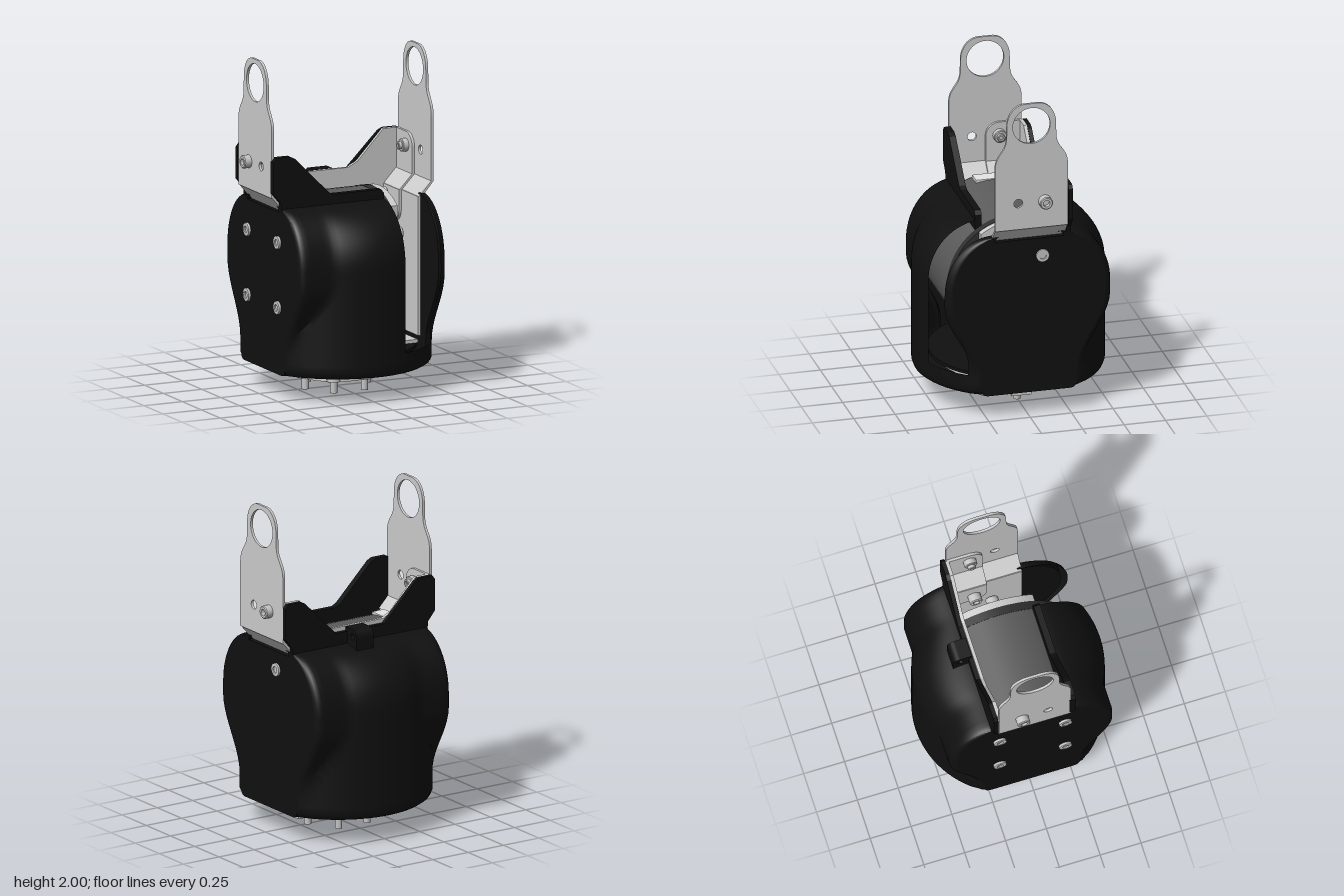
import * as THREE from 'three';
import { toCreasedNormals } from 'three/addons/utils/BufferGeometryUtils.js';

const mat = (name, color) => new THREE.MeshStandardMaterial({ name, color, side: THREE.DoubleSide });

export function createModel() {
  const root = new THREE.Group();
  const black = mat('black plastic', 0x101010);
  const silver = mat('silver metal', 0xcccccc);
  const steel = mat('screw steel', 0xc4c4c4);
  const grey = mat('motor grey', 0x5c5c5c);
  const dark = mat('dark motor rim', 0x303030);
  const white = mat('label white', 0xe8e8e8);

  const add = (name, geo, material, x = 0, y = 0, z = 0) => {
    const m = new THREE.Mesh(geo, material);
    m.name = name;
    m.position.set(x, y, z);
    root.add(m);
    return m;
  };
  const poly = pts => new THREE.Shape(pts.map(p => new THREE.Vector2(p[0], p[1])));
  const circleHole = (shape, x, y, r) => {
    const h = new THREE.Path();
    h.absarc(x, y, r, 0, Math.PI * 2, true);
    shape.holes.push(h);
    return shape;
  };
  const extrude = (shape, depth) =>
    new THREE.ExtrudeGeometry(shape, { depth, bevelEnabled: false, curveSegments: 24 });
  // shape drawn in (-z, y), thickened along x
  const slabX = (shape, x0, x1) => extrude(shape, x1 - x0).rotateY(Math.PI / 2).translate(x0, 0, 0);
  // shape drawn in (x, y), thickened along z
  const slabZ = (shape, z0, z1) => extrude(shape, z1 - z0).translate(0, 0, z0);
  const cylX = (r, x0, x1) =>
    new THREE.CylinderGeometry(r, r, x1 - x0, 64).rotateZ(Math.PI / 2).translate((x0 + x1) / 2, 0, 0);
  const sided = (s, a, b) => (s > 0 ? [a, b] : [-b, -a]);

  // socket head screw along +y
  const headGeo = toCreasedNormals(new THREE.LatheGeometry(
    [[0, 0], [0.039, 0], [0.039, 0.04], [0.034, 0.045], [0.02, 0.045], [0.02, 0.02], [0, 0.02]]
      .map(p => new THREE.Vector2(...p)), 20), 0.6);
  const screwX = (name, x, y, z, dir, len = 0.045, k = 1) => {
    const m = add(name, headGeo, steel, x, y, z);
    m.rotation.z = -dir * Math.PI / 2;
    m.scale.set(k, len / 0.045, k);
  };

  // ---- housing shell: round foot blended with a sideways barrel ----
  const X = 0.475, R = 0.565, Y0 = 0.15, Y1 = 1.15, E = 0.04;
  const barrel = y => 0.33 + 0.17 * THREE.MathUtils.smoothstep(y, 0.28, 0.72);
  const roof = (z, y) => y > 0.8 ? 0.21 + (z - 0.21) * Math.sqrt(Math.max(0, 1 - ((y - 0.8) / 0.35) ** 2)) : z;
  const round = d => d <= 0 ? 0 : E - Math.sqrt(Math.max(0, E * E - d * d));
  const halfDepth = (x, y) =>
    roof(Math.max(barrel(y), Math.sqrt(R * R - x * x)), y) - round(Math.abs(x) - X + E) - round(Y0 + E - y);
  const spread = (x, y) => x * (1 - round(Y0 + E - y) / X);
  const xs = [-X, -0.471, -0.46, -0.435];
  for (let i = 1; i < 20; i++) xs.push(-0.435 + 0.625 * i / 20);
  xs.push(0.19, 0.22, 0.25, 0.28, 0.31, 0.34, 0.37, 0.4, 0.435, 0.46, 0.471, X);
  const ys = [Y0, 0.154, 0.165, 0.19, 0.23, 0.28];
  for (let i = 1; i <= 30; i++) ys.push(0.28 + 0.87 * Math.sin(i / 30 * Math.PI / 2));
  const shell = side => {
    const pos = [], idx = [], n = xs.length;
    for (const y of ys) for (const x of xs) pos.push(spread(x, y), y, side * halfDepth(x, y));
    for (let j = 0; j < ys.length - 1; j++) for (let i = 0; i < n - 1; i++) {
      // open window in the front
      if (side > 0 && ys[j] >= 0.279 && xs[i] >= 0.189 && xs[i + 1] <= 0.436) continue;
      const a = j * n + i, b = a + 1, c = a + n, d = c + 1;
      if (side > 0) idx.push(a, b, d, a, d, c);
      else idx.push(a, d, b, a, c, d);
    }
    const g = new THREE.BufferGeometry();
    g.setAttribute('position', new THREE.Float32BufferAttribute(pos, 3));
    g.setIndex(idx);
    return toCreasedNormals(g, 0.6);
  };
  add('frontShell', shell(1), black);
  add('backShell', shell(-1), black);

  // side walls follow the shell's end outline
  const edge = ys.map(y => [halfDepth(X, y), y]);
  edge[edge.length - 1] = [0.21, 1.12];
  const wall = poly([...edge, ...edge.map(p => [-p[0], p[1]]).reverse()]);
  for (const s of [1, -1]) add('sideWall', slabX(wall, ...sided(s, 0.44, X)), black);

  // underside with round opening
  const rim = xs.map(x => [spread(x, Y0), halfDepth(x, Y0)]);
  const floor = circleHole(poly([...rim, ...rim.map(p => [p[0], -p[1]]).reverse()]), 0, 0, 0.3);
  add('housingFloor', extrude(floor, 0.02).rotateX(Math.PI / 2), black, 0, Y0 + 0.02, 0);
  add('innerFloor', new THREE.CylinderGeometry(0.47, 0.47, 0.02, 48), black, 0, 0.25, 0);

  // raised collars with ears
  const ear = [[-0.48, 1.18], [-0.53, 1.24], [-0.53, 1.43], [-0.51, 1.455], [-0.42, 1.455], [-0.39, 1.44], [-0.17, 1.22]];
  const mirror = pts => pts.map(p => [-p[0], p[1]]).reverse();
  add('backCollar', slabZ(poly([[-0.47, 1.05], ...ear, ...mirror(ear), [0.47, 1.05]]), -0.25, -0.225), black);
  add('frontCollar', slabZ(poly([[-0.47, 1.05], ...ear, [-0.14, 1.205], [0.17, 1.205], [0.19, 1.18], [0.19, 1.05]]),
    0.21, 0.25), black);

  // cable lug on the back
  const lug = new THREE.Shape();
  lug.moveTo(0.23, 1.05);
  lug.lineTo(0.345, 1.05);
  lug.lineTo(0.345, 1.2);
  lug.absarc(0.3, 1.2, 0.045, 0, Math.PI / 2, false);
  lug.lineTo(0.23, 1.245);
  add('cableLug', slabX(circleHole(lug, 0.3, 1.2, 0.02), -0.03, 0.09), black);

  // ---- motor ----
  add('motorBody', cylX(0.42, -0.42, 0.19), grey, 0, 0.75, 0);
  add('motorRim', cylX(0.422, 0.19, 0.24), dark, 0, 0.75, 0);
  add('motorLabel', new THREE.BoxGeometry(0.085, 0.02, 0.21), white, -0.37, 1.165, 0);
  const mount = new THREE.Shape();
  const a0 = Math.acos(0.24 / 0.42);
  mount.absarc(0, 0, 0.42, a0, Math.PI - a0, false);
  mount.absarc(0, 0, 0.42, Math.PI + a0, 2 * Math.PI - a0, false);
  add('motorMount', slabX(mount, 0.24, 0.282), silver, 0, 0.75, 0);
  for (const [y, z] of [[1.12, 0], [0.38, 0], [0.92, 0.2], [0.92, -0.2], [0.56, 0.2], [0.56, -0.2]])
    screwX('mountScrew', 0.28, y, z, 1);

  // ---- inner bracket: back web and side tabs ----
  const web = [[-0.42, 0.93], [-0.42, 1.14], [-0.505, 1.23], [-0.505, 1.455], [-0.41, 1.455], [-0.24, 1.275], [-0.18, 1.245]];
  add('bracketWeb', slabZ(poly([...web, ...mirror(web)]), -0.225, -0.205), silver);
  const tab = (top, bottom) => {
    const s = new THREE.Shape();
    s.moveTo(0.215, bottom);
    s.lineTo(0.215, top);
    s.lineTo(0.08, top);
    s.absarc(0.08, top - 0.08, 0.08, Math.PI / 2, Math.PI, false);
    s.lineTo(0, bottom);
    return s;
  };

  // ---- lifting arms, one per side ----
  const arm = new THREE.Shape();
  arm.moveTo(-0.22, 1.21);
  arm.lineTo(0.22, 1.21);
  arm.lineTo(0.22, 1.6);
  arm.bezierCurveTo(0.22, 1.7, 0.15, 1.7, 0.15, 1.8);
  arm.lineTo(0.148, 1.88);
  arm.bezierCurveTo(0.14, 1.96, 0.09, 2, 0.04, 2);
  arm.lineTo(-0.04, 2);
  arm.bezierCurveTo(-0.09, 2, -0.14, 1.96, -0.148, 1.88);
  arm.lineTo(-0.15, 1.8);
  arm.bezierCurveTo(-0.15, 1.7, -0.22, 1.7, -0.22, 1.6);
  circleHole(arm, 0, 1.86, 0.113);
  circleHole(arm, -0.08, 1.375, 0.027);

  for (const s of [1, -1]) {
    add('liftingArm', slabX(arm, ...sided(s, 0.511, 0.527)), silver);
    const bend = (z0, z1, dx) => slabZ(poly([[0.527, 1.215], [0.511, 1.215], [0.425, 1.125], [0.441, 1.115]]
      .map(p => [s * (p[0] - dx), p[1]])), z0, z1);
    add('armBend', bend(-0.22, 0.22, 0), silver);
    add('bracketBend', bend(-0.215, 0, 0.016), silver);
    const lower = poly([[-0.22, 0.3], [0.22, 0.3], [0.22, 1.13], [-0.22, 1.13]]);
    add('armLowerPlate', slabX(lower, ...sided(s, 0.425, 0.44)), silver);
    add('bracketUpperTab', slabX(tab(1.455, 1.21), ...sided(s, 0.495, 0.511)), silver);
    const low = tab(-0.93, -1.13);
    add('bracketLowerTab', slabX(poly(low.getPoints(12).map(p => [p.x, -p.y])), ...sided(s, 0.409, 0.425)), silver);
    // arm bolt with nut and washer inside
    screwX('armBolt', s * 0.527, 1.375, -0.08, s);
    screwX('armNut', s * 0.495, 1.375, -0.08, -s, 0.035);
    screwX('armBoltTip', s * 0.46, 1.375, -0.08, -s, 0.02, 0.6);
  }

  // wall screws
  screwX('wallScrew', X, 1.01, -0.08, 1, 0.014);
  screwX('wallNut', 0.409, 1.01, -0.08, -1, 0.05);
  for (const y of [0.94, 0.55]) for (const z of [-0.2, 0.2]) screwX('wallScrew', -X, y, z, -1, 0.016);

  // ---- base plate and output flange ----
  add('basePlate', new THREE.BoxGeometry(0.84, 0.02, 0.46), silver, 0, 0.27, 0);
  for (const [x, z] of [[0.23, 0.15], [0.29, 0.05], [0.29, -0.12]])
    add('baseScrew', headGeo, steel, x, 0.28, z).scale.set(1, 0.7, 1);
  const ringShape = (r, hole) => {
    const s = new THREE.Shape();
    s.absarc(0, 0, r, 0, Math.PI * 2, false);
    return circleHole(s, 0, 0, hole);
  };
  const flat = (shape, h) => extrude(shape, h).rotateX(-Math.PI / 2);
  add('recessPlate', flat(ringShape(0.42, 0.09), 0.02), silver, 0, 0.2, 0);
  add('outputFlange', flat(ringShape(0.225, 0.09), 0.13), silver, 0, 0.07, 0);
  add('outputRing', flat(ringShape(0.255, 0.2), 0.08), silver, 0, 0.12, 0);
  add('outputStop', new THREE.BoxGeometry(0.06, 0.14, 0.12), silver, 0.275, 0.13, 0);
  for (let i = 0; i < 6; i++) {
    const a = i * Math.PI / 3, c = Math.cos(a), s = Math.sin(a);
    add('outputPin', new THREE.CylinderGeometry(0.021, 0.021, 0.08, 16), steel, 0.2 * c, 0.04, 0.2 * s);
    add('flangeLobe', new THREE.CylinderGeometry(0.04, 0.04, 0.1, 20), silver, 0.208 * c, 0.12, 0.208 * s);
  }
  return root;
}
